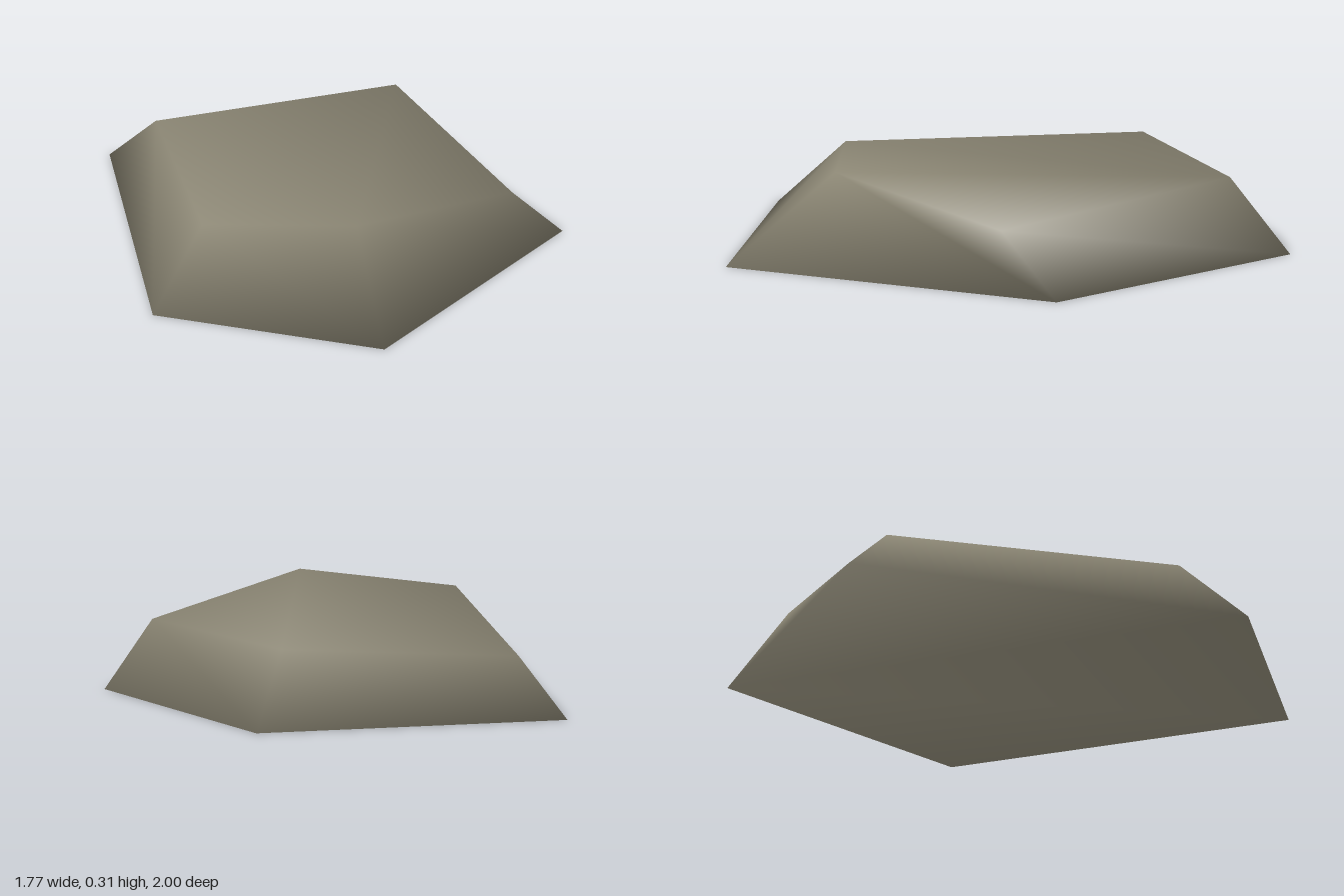
import * as THREE from 'three';

// Matching corners of the foot and the crown, clockwise from the back as seen from above
const foot = [[0.14, 0, -1], [0.885, 0, -0.25], [0.585, 0, 1], [-0.31, 0, 0.93], [-0.89, 0, -0.47]];
const crown = [[0.1, 0.27, -0.775], [0.76, 0.225, -0.03], [0.37, 0.31, 0.63], [-0.2, 0.265, 0.67], [-0.68, 0.205, -0.35]];

// Smooth normals, each face weighted by its angle at the corner
function smoothNormals(points, faces) {
  const normals = points.map(() => new THREE.Vector3());
  for (const face of faces) {
    const p = face.map((i) => points[i]);
    const n = new THREE.Triangle(...p).getNormal(new THREE.Vector3());
    face.forEach((i, k) => {
      const u = p[(k + 1) % 3].clone().sub(p[k]);
      const v = p[(k + 2) % 3].clone().sub(p[k]);
      normals[i].addScaledVector(n, u.angleTo(v));
    });
  }
  return normals.flatMap((n) => n.normalize().toArray());
}

function rockGeometry() {
  const points = [...foot, ...crown].map((p) => new THREE.Vector3(...p));
  const count = foot.length;
  const faces = [];
  // Sloping sides
  for (let i = 0; i < count; i++) {
    const j = (i + 1) % count;
    faces.push([j, i, j + count], [i, i + count, j + count]);
  }
  // Underside and top
  for (let i = 1; i < count - 1; i++) {
    faces.push([0, i, i + 1], [count, count + i + 1, count + i]);
  }
  const geometry = new THREE.BufferGeometry();
  geometry.setAttribute('position', new THREE.Float32BufferAttribute(points.flatMap((p) => p.toArray()), 3));
  geometry.setAttribute('normal', new THREE.Float32BufferAttribute(smoothNormals(points, faces), 3));
  geometry.setIndex(faces.flat());
  return geometry;
}

export function createModel() {
  const stone = new THREE.MeshStandardMaterial({ color: 0x8a8573 });
  stone.name = 'stone';

  const rock = new THREE.Mesh(rockGeometry(), stone);
  rock.name = 'rock';

  const model = new THREE.Group();
  model.name = 'flatRock';
  model.add(rock);
  return model;
}
